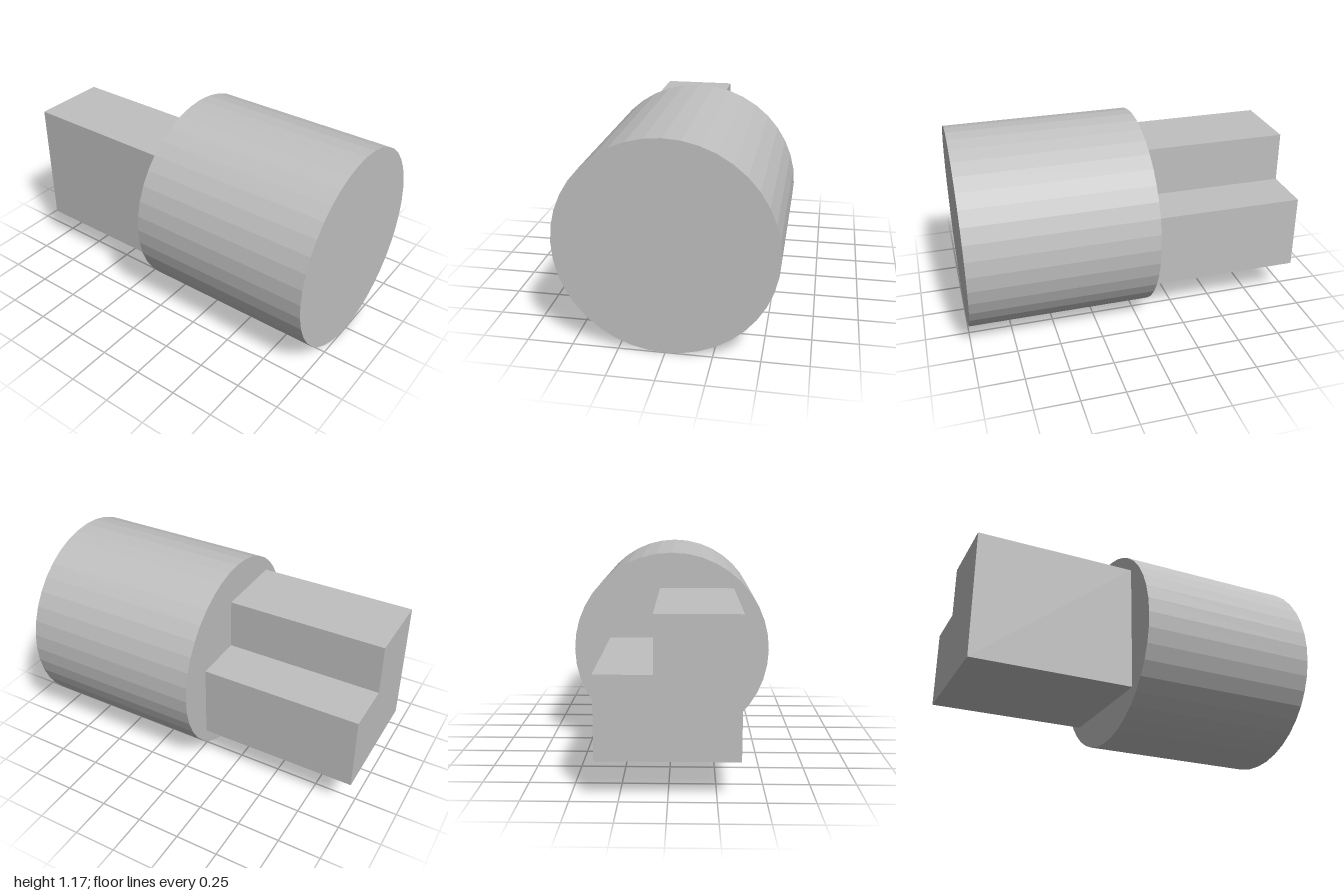
import * as THREE from 'three';

export function createModel() {
  const model = new THREE.Group();
  const grey = new THREE.MeshStandardMaterial({ color: 0xc0c0c0, flatShading: true });
  grey.name = 'light grey';

  const radius = 0.585;
  const shoulder = -0.07; // z where the body meets the tang

  // Faceted round body lying along z
  const bodyLength = 1 - shoulder;
  const bodyGeometry = new THREE.CylinderGeometry(radius, radius, bodyLength, 40);
  bodyGeometry.rotateX(Math.PI / 2);
  const body = new THREE.Mesh(bodyGeometry, grey);
  body.name = 'body';
  body.position.set(0, radius, 1 - bodyLength / 2);
  model.add(body);

  // Square tang with a notch along its upper left edge
  const half = 0.37, bottom = 0.215, top = 0.96, stepX = 0.07, stepY = 0.66;
  const profile = new THREE.Shape([
    [-half, bottom], [half, bottom], [half, stepY],
    [stepX, stepY], [stepX, top], [-half, top],
  ].map(([x, y]) => new THREE.Vector2(x, y)));
  const tang = new THREE.Mesh(
    new THREE.ExtrudeGeometry(profile, { depth: 1 + shoulder, bevelEnabled: false }), grey);
  tang.name = 'notchedTang';
  tang.position.z = -1;
  model.add(tang);

  return model;
}
